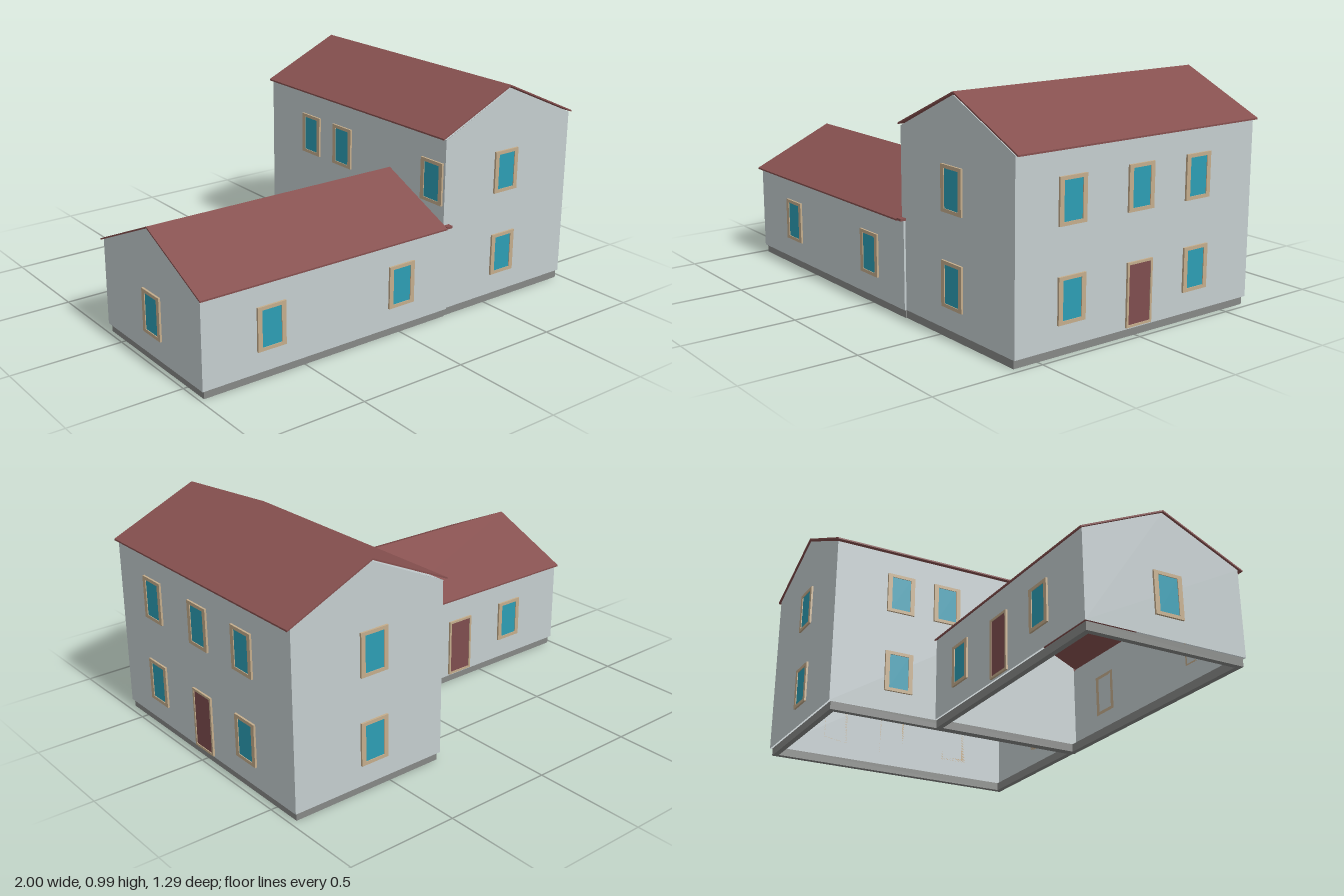
import * as THREE from 'three';

const mat = (name, color, side = THREE.FrontSide) => {
  const m = new THREE.MeshStandardMaterial({ color, side });
  m.name = name;
  return m;
};

export function createModel() {
  const house = new THREE.Group();
  house.name = 'house';
  const wall = mat('pale grey plaster', 0xc4cdcf, THREE.DoubleSide);
  const roof = mat('red roof', 0x86504f, THREE.DoubleSide);
  const stone = mat('grey plinth', 0x868886);
  const trim = mat('tan trim', 0xc4ad8c);
  const glass = mat('blue glass', 0x2c9db4);
  const doorRed = mat('door red', 0x7f4d4f);

  const add = (parent, name, geometry, material) => {
    const mesh = new THREE.Mesh(geometry, material);
    mesh.name = name;
    parent.add(mesh);
    return mesh;
  };

  // Flat convex polygon through the given corners
  const panel = (parent, name, material, corners) => {
    const pos = [];
    for (let i = 1; i < corners.length - 1; i++) pos.push(...corners[0], ...corners[i], ...corners[i + 1]);
    const g = new THREE.BufferGeometry();
    g.setAttribute('position', new THREE.Float32BufferAttribute(pos, 3));
    g.computeVertexNormals();
    return add(parent, name, g, material);
  };

  // Rectangular ring with a depth, centred on its own origin
  const ring = (w, h, mx, my, depth) => {
    const rect = (s, x, y) => s.moveTo(-x, -y).lineTo(x, -y).lineTo(x, y).lineTo(-x, y).closePath();
    const shape = rect(new THREE.Shape(), w / 2, h / 2);
    shape.holes.push(rect(new THREE.Path(), w / 2 - mx, h / 2 - my));
    return new THREE.ExtrudeGeometry(shape, { depth, bevelEnabled: false });
  };

  // Hollow gabled walls, open below: u runs across the gable, v along the ridge
  const gabledWalls = (name, at, [u0, u1], [v0, v1], eave, ridgeU, ridgeY, ends) => {
    const g = new THREE.Group();
    g.name = name;
    const y0 = 0.036;
    for (const u of [u0, u1]) {
      panel(g, 'sideWall', wall, [at(u, y0, v0), at(u, y0, v1), at(u, eave, v1), at(u, eave, v0)]);
    }
    for (const v of ends) {
      panel(g, 'gableWall', wall,
        [at(u0, y0, v), at(u1, y0, v), at(u1, eave, v), at(ridgeU, ridgeY, v), at(u0, eave, v)]);
    }
    house.add(g);
    return g;
  };

  // Two thin roof slopes, given by the cross-section extruded along the ridge
  const gabledRoof = (name, profile, length, t) => {
    const [a, b, c] = profile;
    const s = new THREE.Shape();
    s.moveTo(...a).lineTo(a[0], a[1] - t).lineTo(b[0], b[1] - t).lineTo(c[0], c[1] - t).lineTo(...c).lineTo(...b);
    s.closePath();
    return add(house, name, new THREE.ExtrudeGeometry(s, { depth: length, bevelEnabled: false }), roof);
  };

  // Two-storey block, ridge along z
  const alongZ = (u, y, v) => [u, y, v];
  const main = gabledWalls('mainWalls', alongZ, [0.235, 0.98], [-0.638, 0.619], 0.81, 0.6, 0.98, [-0.638, 0.619]);
  for (const [u, y] of [[0.236, 0.811], [0.979, 0.809]]) {
    panel(main, 'roofLining', wall, [[u, y, -0.637], [0.6, 0.979, -0.637], [0.6, 0.979, 0.618], [u, y, 0.618]]);
  }
  gabledRoof('mainRoof', [[0.218, 0.82], [0.6, 0.993], [0.998, 0.814]], 1.266, 0.007).position.z = -0.645;

  // Single-storey wing, ridge along x
  const alongX = (u, y, v) => [v, y, u];
  gabledWalls('wingWalls', alongX, [-0.128, 0.628], [-0.99, 0.235], 0.425, 0.26, 0.592, [-0.99]);
  panel(house, 'wallLap', wall, [[0.235, 0.036, 0.628], [0.26, 0.036, 0.628], [0.26, 0.425, 0.628], [0.235, 0.425, 0.628]]);
  panel(house, 'wallLapEnd', wall, [[0.26, 0.036, 0.628], [0.26, 0.036, 0.619], [0.26, 0.425, 0.619], [0.26, 0.425, 0.628]]);
  const wingRoof = gabledRoof('wingRoof', [[-0.645, 0.424], [-0.26, 0.6], [0.14, 0.424]], 1.236, 0.007);
  wingRoof.rotation.y = Math.PI / 2;
  wingRoof.position.x = -1;
  const lip = add(house, 'eaveEnd', new THREE.BoxGeometry(0.03, 0.01, 0.026), roof);
  lip.position.set(0.25, 0.425, 0.632);

  // Plinth rings under both blocks
  for (const [name, x0, x1, z0, z1] of [
    ['mainPlinth', 0.245, 0.97, -0.628, 0.615],
    ['wingPlinth', -0.98, 0.255, -0.118, 0.62],
  ]) {
    const p = add(house, name, ring(x1 - x0, z1 - z0, 0.025, 0.025, 0.037), stone);
    p.rotation.x = -Math.PI / 2;
    p.position.set((x0 + x1) / 2, 0, (z0 + z1) / 2);
  }

  // Windows and doors sit on a wall and face along its heading
  const opening = (name, w, h, mx, my, fill, [x, y, z], heading) => {
    const g = new THREE.Group();
    g.name = name;
    add(g, 'frame', ring(w, h, mx, my, 0.009), trim);
    const pane = add(g, 'pane', new THREE.BoxGeometry(w - 2 * mx, h - 2 * my, 0.005), fill);
    pane.position.z = 0.003;
    g.position.set(x, y, z);
    g.rotation.y = heading;
    house.add(g);
  };
  const win = (x, y, z, heading) => opening('window', 0.135, 0.19, 0.021, 0.015, glass, [x, y, z], heading);
  const door = (x, z, heading) => opening('door', 0.135, 0.268, 0.01, 0.01, doorRed, [x, 0.178, z], heading);
  const low = 0.224, high = 0.61;
  const FRONT = 0, BACK = Math.PI, LEFT = Math.PI / 2, RIGHT = -Math.PI / 2;

  for (const y of [low, high]) {
    win(0.592, y, 0.619, FRONT);
    win(0.592, y, -0.638, BACK);
    for (const z of [0.347, -0.317]) win(0.98, y, z, LEFT);
    win(0.235, y, -0.317, RIGHT);
  }
  win(0.98, high, -0.003, LEFT);
  win(0.235, high, -0.08, RIGHT);
  win(0.235, high, 0.54, RIGHT);
  door(0.98, -0.005, LEFT);

  for (const x of [-0.67, -0.005]) {
    win(x, low, 0.628, FRONT);
    win(x, low, -0.128, BACK);
  }
  door(-0.35, -0.128, BACK);
  win(-0.99, low, 0.262, RIGHT);

  return house;
}
